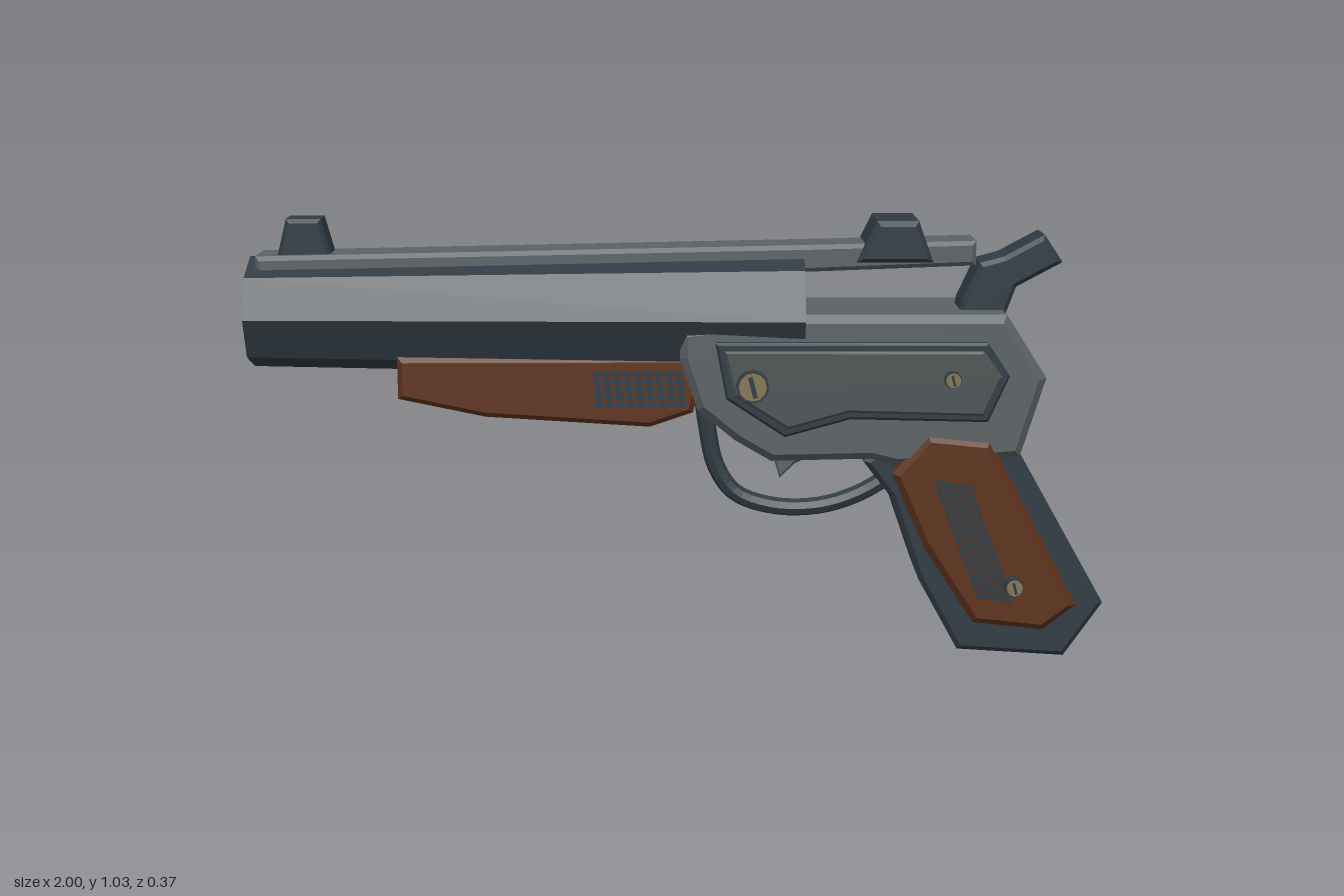
import * as THREE from 'three';

const mat = (name, color, double) => {
  const m = new THREE.MeshStandardMaterial({ color });
  m.name = name;
  m.flatShading = true;
  if (double) m.side = THREE.DoubleSide;
  return m;
};

export function createModel() {
  const gunmetal = mat('gunmetal', 0x303b44);
  const steel = mat('steel', 0x5b6265);
  const plateSteel = mat('plateSteel', 0x4d5355);
  const wood = mat('wood', 0x5e321b);
  const brass = mat('brass', 0x857654);
  const boreGrey = mat('boreGrey', 0x8e8b8b);

  const model = new THREE.Group();
  model.name = 'breakActionPistol';

  const add = (name, geometry, material, parent = model) => {
    const mesh = new THREE.Mesh(geometry, material);
    mesh.name = name;
    parent.add(mesh);
    return mesh;
  };

  // Side profile extruded between z0 and z1, with bevels kept inside the outline
  const slab = (name, points, z0, z1, bevel, material, parent) => {
    const shape = new THREE.Shape(points.map(([x, y]) => new THREE.Vector2(x, y)));
    const geometry = new THREE.ExtrudeGeometry(shape, {
      depth: z1 - z0 - 2 * bevel, bevelEnabled: bevel > 0, bevelThickness: bevel,
      bevelSize: bevel, bevelOffset: -bevel, bevelSegments: 1,
    });
    geometry.translate(0, 0, z0 + bevel);
    return add(name, geometry, material, parent);
  };
  const centred = (name, points, half, bevel, material) =>
    slab(name, points, -half, half, bevel, material);

  // Octagonal tapered barrel with bore
  const barrel = new THREE.CylinderGeometry(0.13, 0.157, 1.281, 8);
  barrel.rotateZ(Math.PI / 2).translate(-0.3555, 0.81, 0);
  add('barrel', barrel, gunmetal);
  const bore = new THREE.CylinderGeometry(0.102, 0.102, 0.006, 20);
  bore.rotateZ(Math.PI / 2).translate(-0.997, 0.81, 0);
  add('bore', bore, boreGrey);

  // Top rib and sights
  centred('topRib', [[-0.975, 0.88], [0.285, 0.91], [0.68, 0.925], [0.68, 0.982],
    [0.285, 0.972], [-0.975, 0.946]], 0.062, 0.01, steel);
  centred('frontSight', [[-0.93, 0.935], [-0.8, 0.935], [-0.825, 1.03], [-0.905, 1.03]],
    0.04, 0.01, gunmetal);
  centred('rearSight', [[0.405, 0.935], [0.58, 0.935], [0.545, 1.03], [0.45, 1.03]],
    0.084, 0.012, gunmetal);

  // Receiver and hammer
  centred('receiver', [[0, 0.79], [0.285, 0.822], [0.745, 0.822], [0.84, 0.675],
    [0.785, 0.49], [0.5, 0.47], [0.44, 0.485], [0.21, 0.48], [0.125, 0.53],
    [0.04, 0.6], [0, 0.72]], 0.14, 0.018, steel);
  centred('hammer', [[0.64, 0.79], [0.745, 0.79], [0.775, 0.875], [0.88, 0.932],
    [0.837, 0.995], [0.745, 0.945], [0.69, 0.93], [0.65, 0.84]], 0.058, 0.01, gunmetal);

  // Wooden forestock under the barrel
  centred('forestock', [[-0.65, 0.72], [-0.65, 0.622], [-0.45, 0.58], [-0.07, 0.556],
    [0.03, 0.59], [0.06, 0.72]], 0.112, 0.012, wood);

  // Grip frame
  centred('gripFrame', [[0.425, 0.475], [0.475, 0.51], [0.785, 0.5], [0.995, 0.132],
    [0.907, 0.002], [0.655, 0.018], [0.56, 0.19], [0.49, 0.39]], 0.115, 0.012, gunmetal);

  // Trigger guard and trigger
  const guardPath = new THREE.CatmullRomCurve3([[0.055, 0.6], [0.065, 0.53], [0.085, 0.44],
    [0.13, 0.375], [0.22, 0.342], [0.33, 0.342], [0.425, 0.372], [0.52, 0.43]]
    .map(([x, y]) => new THREE.Vector3(x, y, 0)));
  add('triggerGuard', new THREE.TubeGeometry(guardPath, 28, 0.021, 8), gunmetal);
  centred('trigger', [[0.21, 0.5], [0.235, 0.415], [0.27, 0.45], [0.32, 0.475], [0.32, 0.5]],
    0.03, 0.006, steel);

  // Details repeated on both sides
  for (const side of [1, -1]) {
    const label = side > 0 ? 'front' : 'back';
    const group = new THREE.Group();
    group.name = label + 'SideDetails';
    model.add(group);

    // A slab on the +z side, or its mirrored position on the -z side
    const panel = (name, points, z0, z1, bevel, material) => side > 0
      ? slab(name, points, z0, z1, bevel, material, group)
      : slab(name, points, -z1, -z0, bevel, material, group);

    panel('sidePlateRim', [[0.08, 0.762], [0.7, 0.762], [0.752, 0.685], [0.705, 0.578],
      [0.39, 0.585], [0.24, 0.543], [0.105, 0.632]], 0.12, 0.158, 0.006, gunmetal);
    panel('sidePlate', [[0.1, 0.744], [0.69, 0.744], [0.734, 0.684], [0.694, 0.594],
      [0.385, 0.602], [0.247, 0.563], [0.125, 0.64]], 0.15, 0.164, 0.006, plateSteel);
    panel('gripPanel', [[0.49, 0.452], [0.57, 0.545], [0.715, 0.53], [0.745, 0.475],
      [0.925, 0.135], [0.85, 0.076], [0.685, 0.094], [0.565, 0.28]], 0.09, 0.15, 0.015, wood);

    // Flat bar between two points, used for the checkering
    const bar = (name, x0, y0, x1, y1, z, width) => {
      const geometry = new THREE.BoxGeometry(Math.hypot(x1 - x0, y1 - y0), width, 0.006);
      geometry.rotateZ(Math.atan2(y1 - y0, x1 - x0));
      geometry.translate((x0 + x1) / 2, (y0 + y1) / 2, side * z);
      add(name, geometry, gunmetal, group);
    };
    for (let i = 0; i < 5; i++) {
      const dx = i * 0.018;
      bar('gripCheckering', 0.593 + dx, 0.43, 0.698 + dx, 0.155, 0.151, 0.009);
    }
    for (let i = 0; i < 14; i++) {
      const t = i / 13;
      const x = 0.593 + 0.105 * t;
      const y = 0.43 - 0.27 * t;
      bar('gripCheckering', x, y + 0.006, x + 0.075, y - 0.012, 0.1515, 0.009);
    }
    for (let i = 0; i < 9; i++) {
      const x = -0.195 + i * 0.024;
      bar('forestockCheckering', x, 0.688, x + 0.01, 0.608, 0.113, 0.012);
    }
    for (let i = 0; i < 5; i++) {
      const y = 0.685 - i * 0.019;
      bar('forestockCheckering', -0.2, y, 0.01, y, 0.1135, 0.006);
    }

    // Screws: dark collar, brass head and slot
    for (const [x, y, r, z0] of [[0.165, 0.665, 0.038, 0.15], [0.62, 0.68, 0.02, 0.15],
      [0.775, 0.19, 0.022, 0.13]]) {
      const disc = (name, radius, z1, material) => {
        const geometry = new THREE.CylinderGeometry(radius, radius, z1 - z0, 12);
        geometry.rotateX(Math.PI / 2).translate(x, y, side * (z0 + z1) / 2);
        add(name, geometry, material, group);
      };
      disc('screwCollar', r, 0.178, gunmetal);
      disc('screwHead', r * 0.84, 0.185, brass);
      const slot = new THREE.BoxGeometry(r * 0.28, r * 1.3, 0.004);
      slot.rotateZ(0.25).translate(x, y, side * 0.1845);
      add('screwSlot', slot, gunmetal, group);
    }
  }
  return model;
}
